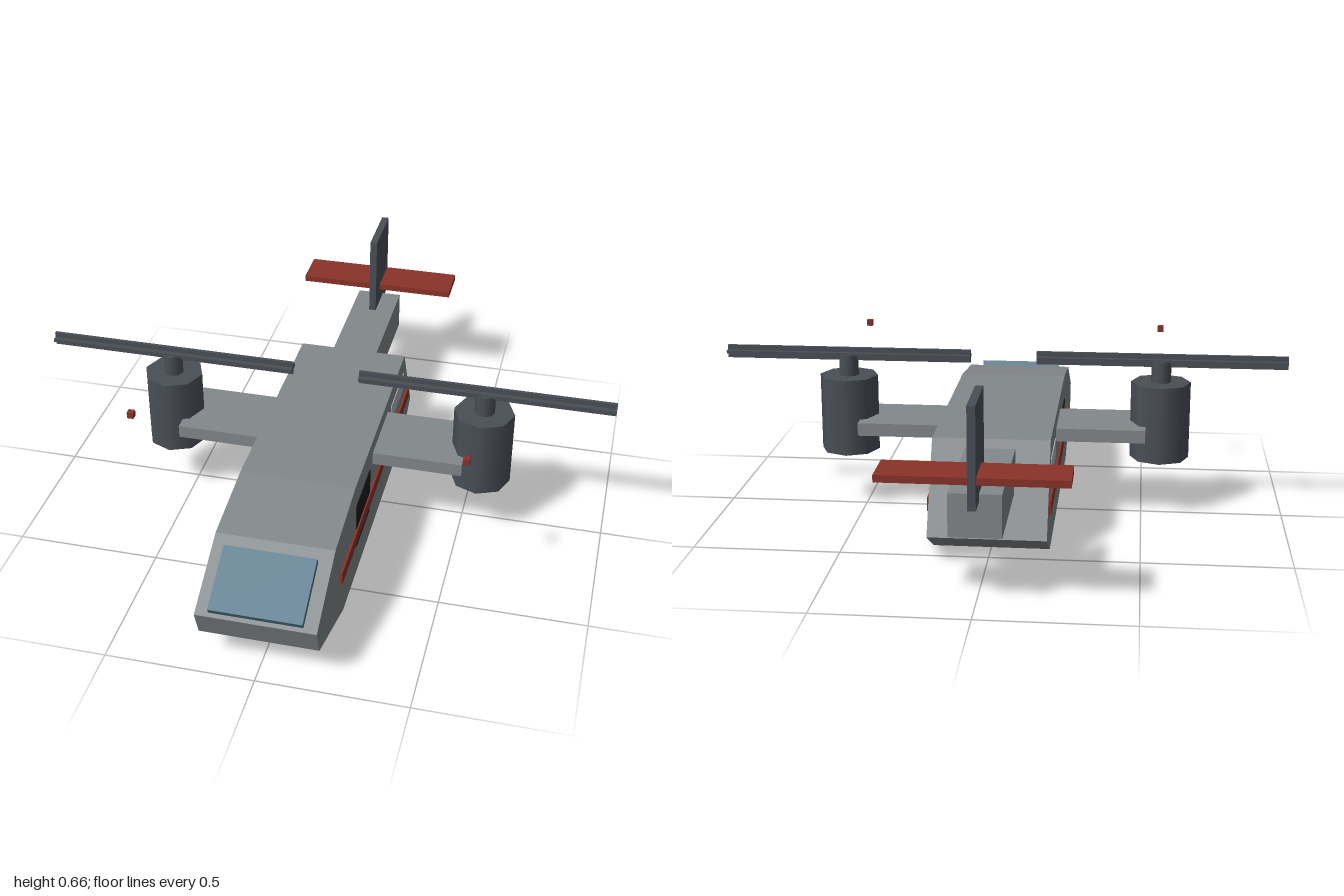
import * as THREE from 'three';

const mat = (color) => new THREE.MeshStandardMaterial({ color });

export function createModel() {
  const model = new THREE.Group();
  const hull = mat(0x83888b), dark = mat(0x4a4f57), red = mat(0x8a3329);
  const glass = mat(0x54788a), black = mat(0x1c1c1c), pale = mat(0xb4b4b4);

  const add = (name, geometry, material, x = 0, y = 0, z = 0) => {
    const mesh = new THREE.Mesh(geometry, material);
    mesh.name = name;
    mesh.position.set(x, y, z);
    model.add(mesh);
    return mesh;
  };
  // Box given by its lower and upper corners
  const box = (name, material, [x0, x1], [y0, y1], [z0, z1]) =>
    add(name, new THREE.BoxGeometry(x1 - x0, y1 - y0, z1 - z0), material,
      (x0 + x1) / 2, (y0 + y1) / 2, (z0 + z1) / 2);

  // Fuselage: side outline (z, y) extruded across the width
  const halfWidth = 0.197;
  const outline = [[0.974, 0.214], [0.94, 0.117], [0.61, 0], [-0.405, 0],
    [-0.567, 0.09], [-0.405, 0.382], [0.44, 0.382], [0.724, 0.346]];
  const shape = new THREE.Shape(outline.map(([z, y]) => new THREE.Vector2(z, y)));
  const body = new THREE.ExtrudeGeometry(shape, { depth: halfWidth * 2, bevelEnabled: false });
  body.translate(0, 0, -halfWidth).rotateY(-Math.PI / 2);
  add('fuselage', body, hull);

  // Windshield plate lying on the nose slope, and chin turret below it
  const windshield = add('windshield', new THREE.BoxGeometry(0.305, 0.025, 0.22), glass, 0, 0.287, 0.873);
  windshield.rotation.x = 0.5;
  box('chinTurret', dark, [-0.068, 0.068], [0, 0.1], [0.635, 0.787]);

  // Tail boom, fin and stabilizer
  box('tailBoom', hull, [-0.083, 0.083], [0.22, 0.36], [-0.895, -0.44]);
  box('tailFin', dark, [-0.013, 0.013], [0.335, 0.657], [-0.978, -0.752]);
  box('stabilizer', red, [-0.293, 0.293], [0.414, 0.437], [-0.973, -0.826]);

  // Wing running through the fuselage
  box('wing', hull, [-0.508, 0.508], [0.285, 0.331], [-0.098, 0.163]);

  for (const side of [1, -1]) {
    const label = side > 0 ? 'left' : 'right';
    // Side panels, slightly proud of the hull
    const panel = (name, material, proud, y, z) => {
      const x = [side * (halfWidth - 0.01), side * (halfWidth + proud)].sort((a, b) => a - b);
      box(label + name, material, x, y, z);
    };
    panel('Door', black, 0.003, [0.12, 0.296], [0.211, 0.423]);
    panel('Window', pale, 0.003, [0.248, 0.315], [-0.393, -0.157]);
    panel('Stripe', red, 0.008, [0.152, 0.199], [-0.486, 0.66]);

    // Engine nacelle, rotor hub and cross-section blades
    const x = side * 0.559, z = 0.033, bladeY = 0.553;
    add(label + 'Nacelle', new THREE.CylinderGeometry(0.105, 0.105, 0.276, 8), dark, x, 0.338, z);
    add(label + 'RotorHub', new THREE.CylinderGeometry(0.035, 0.035, 0.085, 8), dark, x, 0.51, z);
    add(label + 'BladeFlat', new THREE.BoxGeometry(0.882, 0.011, 0.046), dark, x, bladeY, z);
    add(label + 'BladeUpright', new THREE.BoxGeometry(0.882, 0.046, 0.011), dark, x, bladeY, z);

    // Marker light ahead of the rotor
    add(label + 'MarkerLight', new THREE.BoxGeometry(0.022, 0.022, 0.022), red, x, 0.572, 0.461);
  }
  return model;
}
